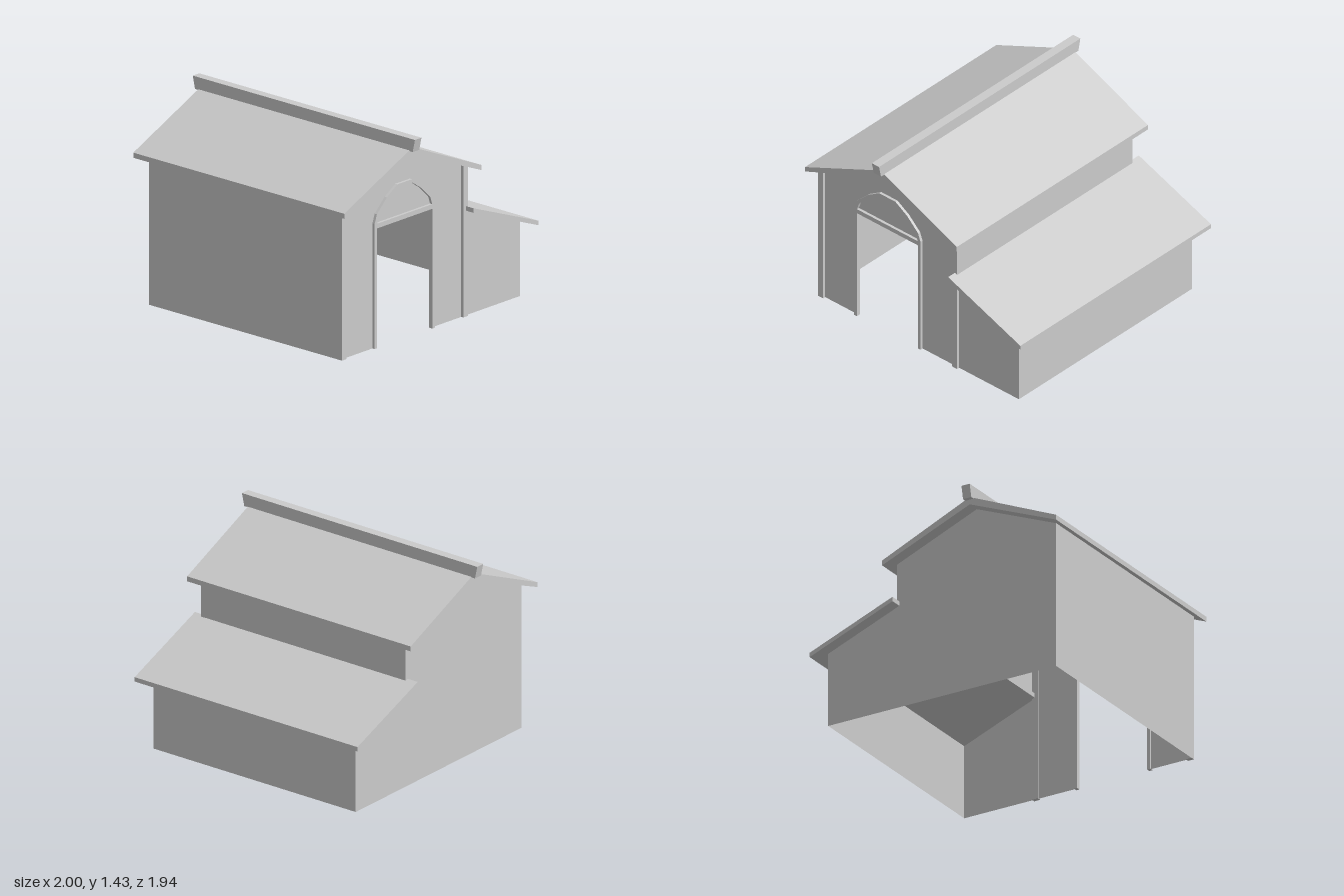
import * as THREE from 'three';

const WALL_X = 0.86, ROOF_X = 0.95, TRIM_X = 0.88, RIDGE_Z = 0.29;

export function createModel() {
  const group = new THREE.Group();
  const solid = new THREE.MeshStandardMaterial({ color: 0xcccccc, flatShading: true });
  const thin = new THREE.MeshStandardMaterial({ color: 0xcccccc, flatShading: true, side: THREE.DoubleSide });

  const add = (name, geometry, material = solid) => {
    const mesh = new THREE.Mesh(geometry, material);
    mesh.name = name;
    group.add(mesh);
    return mesh;
  };
  const shapeOf = (points) => new THREE.Shape(points.map(([a, b]) => new THREE.Vector2(a, b)));

  // Side profile given as [z, y], extruded across x0..x1
  const profile = (name, points, x0, x1) => {
    const geo = new THREE.ExtrudeGeometry(shapeOf(points), { depth: x1 - x0, bevelEnabled: false });
    return add(name, geo.rotateY(-Math.PI / 2).translate(x1, 0, 0));
  };

  // Gable end walls: house and lean-to share one outline; only one has the doorway
  const houseTop = [[-0.88, 0], [-0.88, 0.532], [-0.34, 0.742], [-0.34, 1.055], [RIDGE_Z, 1.31], [0.915, 1.055], [0.915, 0]];
  const doorway = [[0.565, 0], [0.565, 0.86], [0.015, 0.86], [0.015, 0]];
  const endWall = (name, points, x, turn) => {
    const geo = new THREE.ShapeGeometry(shapeOf(points)).rotateY(-Math.PI / 2).translate(x, 0, 0);
    add(name, geo, thin);
  };
  endWall('plainEndWall', houseTop, -WALL_X);
  endWall('doorEndWall', [...houseTop, ...doorway], WALL_X);

  // Long walls
  const longWall = (name, z, y0, y1, turn) => {
    const geo = new THREE.PlaneGeometry(2 * WALL_X, y1 - y0).rotateY(turn);
    add(name, geo.translate(0, (y0 + y1) / 2, z), thin);
  };
  longWall('frontWall', 0.915, 0, 1.055, 0);
  longWall('upperBackWall', -0.34, 0.742, 1.055, Math.PI);
  longWall('leanToBackWall', -0.88, 0, 0.532, Math.PI);

  // Roofs
  profile('mainRoof', [
    [0.97, 1.03], [0.97, 1.066], [0.322, 1.35], [0.258, 1.35],
    [-0.4, 1.066], [-0.4, 1.03], [RIDGE_Z, 1.31],
  ], -ROOF_X, ROOF_X);
  profile('leanToRoof', [[-0.32, 0.748], [-0.32, 0.78], [-0.972, 0.528], [-0.972, 0.496]], -0.947, 0.947);

  // Ridge beam with slanted ends
  const ridge = shapeOf([[-0.98, 1.345], [0.98, 1.345], [1, 1.435], [-1, 1.435]]);
  add('ridgeBeam', new THREE.ExtrudeGeometry(ridge, { depth: 0.065, bevelEnabled: false }).translate(0, 0, 0.256));

  // Corner posts on the door end
  for (const [name, z0, z1, top0, top1] of [
    ['frontCornerPost', 0.87, 0.916, 1.073, 1.054],
    ['backCornerPost', -0.341, -0.295, 1.054, 1.073],
  ]) {
    profile(name, [[z0, 0], [z1, 0], [z1, top1], [z0, top0]], WALL_X - 0.01, TRIM_X);
  }

  // Arched door frame, mirrored about the ridge line
  const arch = (half) => [
    ...half.map(([d, y]) => [RIDGE_Z + d, y]),
    ...half.slice().reverse().map(([d, y]) => [RIDGE_Z - d, y]),
  ];
  const outer = arch([[0.3, 0], [0.3, 0.883], [0.277, 0.945], [0.178, 1.04], [0.073, 1.105]]);
  const inner = arch([[0.275, 0], [0.275, 0.876], [0.256, 0.932], [0.167, 1.018], [0.08, 1.079]]);
  profile('doorFrame', [...outer, ...inner.reverse()], WALL_X - 0.01, TRIM_X);
  profile('doorCrossbar', [[0.015, 0.845], [0.565, 0.845], [0.565, 0.878], [0.015, 0.878]], WALL_X - 0.01, TRIM_X);

  return group;
}
